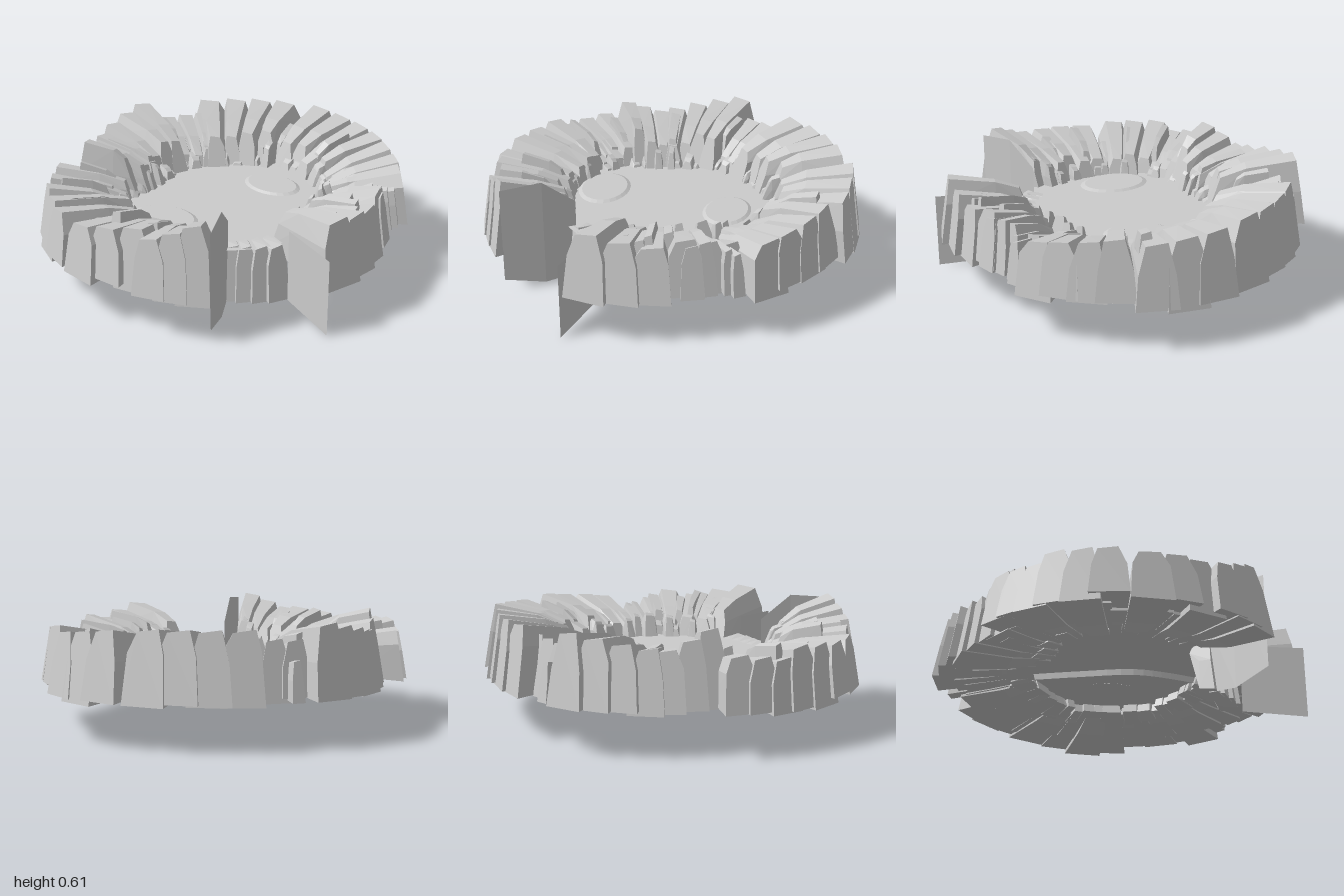
import * as THREE from 'three';
import { ConvexGeometry } from 'three/addons/geometries/ConvexGeometry.js';

const material = new THREE.MeshStandardMaterial({ color: 0xcccccc, flatShading: true, side: THREE.DoubleSide });
const { lerp, degToRad } = THREE.MathUtils;

// small seeded generator
let seed = 11;
const rand = (a, b) => {
  seed = (seed * 16807) % 2147483647;
  return a + (b - a) * (seed / 2147483647);
};

// radius of the pit edge every 30 degrees, clockwise from +x as seen from above
const EDGE = [0.5, 0.44, 0.52, 0.52, 0.48, 0.5, 0.49, 0.38, 0.47, 0.48, 0.53, 0.54];
function edgeRadius(deg) {
  const t = (((deg % 360) + 360) % 360) / 30;
  const i = Math.floor(t);
  return lerp(EDGE[i], EDGE[(i + 1) % 12], t - i);
}

function addMesh(parent, name, geometry) {
  const mesh = new THREE.Mesh(geometry, material);
  mesh.name = name;
  parent.add(mesh);
  return mesh;
}

// a radial boulder: trapezoid sections, wide and high outside, narrow and low inside
function rock(parent, name, { deg, outer, inner, half, base, top, innerTop, narrow = 0.5, lean = 0.16 }) {
  const skew = rand(-0.12, 0.12);
  const shoulder = rand(0.5, 0.75);
  const points = [];
  const section = (r, w, bottom, peak, slope) => {
    const h = peak - bottom;
    for (const [s, t] of [[-1, 0], [-0.84, shoulder], [-0.5 + skew, 1], [0.5 + skew, 0.96], [0.86, shoulder], [1, 0]]) {
      points.push(new THREE.Vector3(r - slope * h * t, bottom + h * t, s * w));
    }
  };
  section(outer, half, base, top, lean);
  section(lerp(inner, outer, 0.4), half * (narrow + 0.22), base + 0.02, lerp(innerTop, top, 0.55), 0);
  section(inner, half * narrow, Math.max(base, 0.27), innerTop, -0.35);
  addMesh(parent, name, new ConvexGeometry(points)).rotation.y = -degToRad(deg);
}

// boulder clusters: first and last angle, count, outer radius and top height at both ends
const CLUSTERS = [
  [-95, -67, 4, 0.96, 1.0, 0.58, 0.58],
  [-54, -37, 3, 1.04, 1.04, 0.57, 0.54],
  [-26, -2, 4, 1.0, 0.99, 0.55, 0.5],
  [7, 23, 3, 0.83, 0.9, 0.45, 0.53],
  [34, 53, 3, 0.92, 0.98, 0.5, 0.56],
  [98, 111, 3, 0.97, 0.98, 0.6, 0.52],
  [118, 136, 3, 0.93, 0.99, 0.53, 0.49],
  [148, 164, 3, 1.0, 0.98, 0.5, 0.52],
  [171, 185, 3, 0.97, 0.94, 0.47, 0.5],
  [192, 207, 3, 0.82, 0.86, 0.61, 0.52],
  [214, 238, 4, 0.88, 0.98, 0.53, 0.6],
  [247, 260, 3, 0.88, 0.87, 0.52, 0.53],
];

function buildRing() {
  const ring = new THREE.Group();
  ring.name = 'boulderRing';
  for (const [from, to, count, outerA, outerB, topA, topB] of CLUSTERS) {
    const step = (to - from) / (count - 1);
    for (let i = 0; i < count; i++) {
      const t = i / (count - 1);
      const deg = lerp(from, to, t);
      const outer = lerp(outerA, outerB, t);
      const top = lerp(topA, topB, t);
      rock(ring, 'boulder', {
        deg, outer, top, half: outer * degToRad(step) * 0.5 + 0.03,
        inner: edgeRadius(deg) + rand(-0.02, 0.04), base: rand(0.2, 0.245), innerTop: top - rand(0.07, 0.14),
      });
    }
  }
  // thin slabs wedged between the boulders
  for (let i = 0; i < 56; i++) {
    const deg = 98 + (i + rand(0, 0.8)) * (316 / 56);
    const inner = edgeRadius(deg) + rand(0, 0.08);
    const top = rand(0.42, 0.55);
    rock(ring, 'slab', {
      deg, inner, outer: inner + rand(0.25, 0.4), half: rand(0.03, 0.06),
      base: 0.23, top, innerTop: top - rand(0.04, 0.1), narrow: 0.65,
    });
  }
  // short stones at the edge of the floor
  for (let i = 0; i < 34; i++) {
    const deg = 100 + (i + rand(0, 0.9)) * (312 / 34);
    const inner = edgeRadius(deg) - rand(0, 0.03);
    const top = rand(0.36, 0.46);
    rock(ring, 'edgeStone', {
      deg, inner, outer: inner + rand(0.08, 0.18), half: rand(0.025, 0.05),
      base: 0.25, top, innerTop: top - 0.03, narrow: 0.8, lean: 0.3,
    });
  }
  return ring;
}

// flat floor whose outline follows the pit edge, reaching under the rocks
function buildFloor() {
  const outline = EDGE.map((r, i) => {
    const a = (i * Math.PI) / 6;
    return new THREE.Vector2(Math.cos(a) * r * 1.14, -Math.sin(a) * r * 1.14);
  });
  const shape = new THREE.Shape();
  shape.moveTo(outline[11].x, outline[11].y);
  shape.splineThru(outline);
  return new THREE.ShapeGeometry(shape, 6).rotateX(-Math.PI / 2).translate(0, 0.32, 0);
}

// upright sheet following a path, from the y of each point up to a top height
function wall(points, tops) {
  const geometry = new THREE.PlaneGeometry(1, 1, points.length - 1, 1);
  const pos = geometry.attributes.position;
  points.forEach(([x, y, z], i) => {
    pos.setXYZ(i, x, tops[i], z);
    pos.setXYZ(i + points.length, x, y, z);
  });
  geometry.computeVertexNormals();
  return geometry;
}

export function createModel() {
  seed = 11;
  const model = new THREE.Group();
  model.name = 'rockRing';
  model.add(buildRing());
  addMesh(model, 'floor', buildFloor());

  // low mounds on the floor
  for (const [x, z, r, turn] of [[0.27, -0.22, 0.18, -0.8], [-0.3, 0.22, 0.2, -0.7]]) {
    const mound = addMesh(model, 'floorMound', new THREE.CylinderGeometry(r * 0.85, r, 0.012, 24));
    mound.position.set(x, 0.324, z);
    mound.scale.z = 0.72;
    mound.rotation.y = turn;
  }

  // curved ledge under the floor
  const curve = new THREE.CatmullRomCurve3([[0.5, 0.36], [0.24, 0.2], [0.08, 0.06], [-0.06, -0.2], [-0.18, -0.45]]
    .map(([x, z]) => new THREE.Vector3(x, 0.285, z)));
  const ledge = curve.getPoints(16).map((p) => p.toArray());
  addMesh(model, 'floorLedge', wall(ledge, ledge.map(() => 0.32)));

  // small cliff stones below the opening in the ring
  for (let i = 0; i < 4; i++) {
    rock(model, 'cliffStone', {
      deg: 64 + i * 7, outer: 0.66 - i * 0.02, inner: 0.46, half: 0.06,
      base: 0.035, top: 0.33, innerTop: 0.32, narrow: 0.8, lean: 0.12,
    });
  }

  // sheer walls on both sides of the opening
  addMesh(model, 'openingWallRight', wall([[-0.05, 0.06, 0.93], [0, 0.015, 0.72], [0.03, 0.04, 0.55]], [0.57, 0.59, 0.46]));
  addMesh(model, 'openingWallLeft', wall([[0.33, 0.035, 0.58], [0.51, 0, 0.87]], [0.42, 0.4]));
  return model;
}
